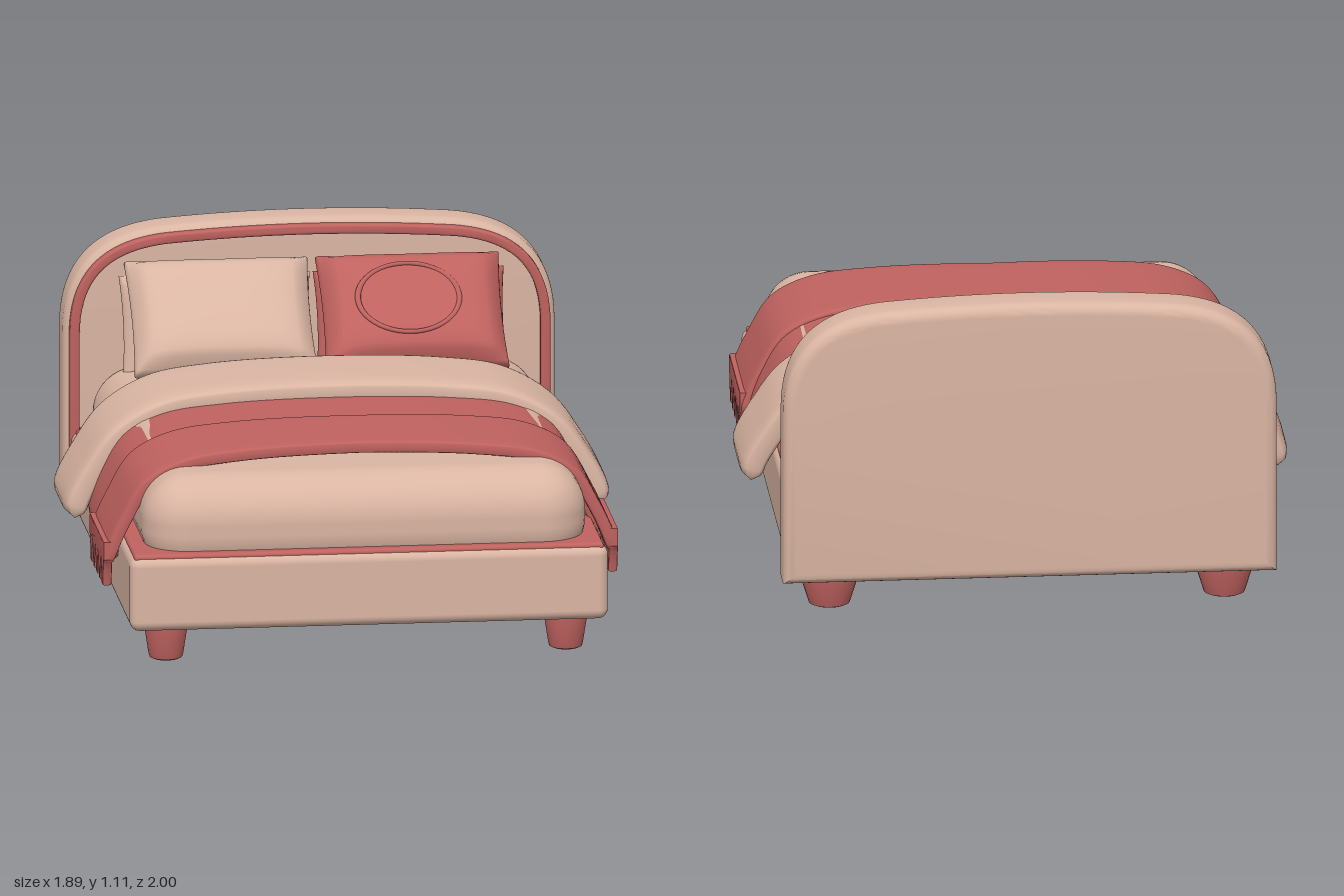
import * as THREE from 'three';
import { mergeVertices, toCreasedNormals } from 'three/addons/utils/BufferGeometryUtils.js';
import { RoundedBoxGeometry } from 'three/addons/geometries/RoundedBoxGeometry.js';

const tan = new THREE.MeshStandardMaterial({ color: 0xdab5a3 });
tan.name = 'warm tan';
const red = new THREE.MeshStandardMaterial({ color: 0xbf625f });
red.name = 'dusty red';

function add(parent, name, geometry, material, x = 0, y = 0, z = 0) {
  const mesh = new THREE.Mesh(geometry, material);
  mesh.name = name;
  mesh.position.set(x, y, z);
  parent.add(mesh);
  return mesh;
}

// Rounded box given by its extents, centred on x
function slab(halfX, y0, y1, z0, z1, radius) {
  return new RoundedBoxGeometry(halfX * 2, y1 - y0, z1 - z0, 6, radius)
    .translate(0, (y0 + y1) / 2, (z0 + z1) / 2);
}

// Arched headboard outline, inset on its sides and top
function archShape(inset, bottom) {
  const w = 0.85 - inset, t = 1.11 - inset;
  const s = new THREE.Shape();
  s.moveTo(-w, bottom);
  s.lineTo(w, bottom);
  s.lineTo(w, 0.72);
  s.bezierCurveTo(w, 0.95, 0.72 - inset, t - 0.04, 0.5, t - 0.02);
  s.quadraticCurveTo(0, t + 0.02, -0.5, t - 0.02);
  s.bezierCurveTo(-0.72 + inset, t - 0.04, -w, 0.95, -w, 0.72);
  s.closePath();
  return s;
}

function extrude(shape, depth, bevel, bevelSegments) {
  const g = new THREE.ExtrudeGeometry(shape, {
    depth: depth - 2 * bevel, bevelEnabled: true, bevelThickness: bevel,
    bevelSize: bevel, bevelSegments, curveSegments: 20,
  });
  return toCreasedNormals(g.translate(0, 0, bevel), 0.6);
}

// Cloth draped over the bed: a rounded section swept along a mirrored arch.
// edges(k) gives the back and front z, with k = 0 at the middle and 1 at the hems.
function drape(half, thickness, power, edges) {
  const all = [...half.slice(1).reverse().map(([x, y]) => [-x, y]), ...half];
  const curve = new THREE.CatmullRomCurve3(all.map(([x, y]) => new THREE.Vector3(x, y, 0)));
  const N = 110, M = 32, taper = 0.045, length = curve.getLength();
  const maxX = half[half.length - 1][0];
  const bend = (v) => Math.sign(v) * Math.pow(Math.abs(v), power);
  const pos = [], index = [];
  for (let i = 0; i <= N; i++) {
    const p = curve.getPointAt(i / N), t = curve.getTangentAt(i / N);
    const d = Math.min(1, Math.min(i, N - i) / N * length / taper);
    const round = Math.sqrt(Math.max(0, 1 - (1 - d) ** 2));
    const [z0, z1] = edges(Math.abs(p.x) / maxX);
    const halfZ = (z1 - z0) / 2 * (0.92 + 0.08 * round);
    for (let j = 0; j < M; j++) {
      const a = j / M * Math.PI * 2;
      const off = bend(Math.sin(a)) * thickness / 2 * round;
      pos.push(p.x - t.y * off, p.y + t.x * off, (z0 + z1) / 2 + halfZ * bend(Math.cos(a)));
      if (i < N) {
        const b = i * M + j, c = i * M + (j + 1) % M;
        index.push(b, b + M, c, b + M, c + M, c);
      }
    }
  }
  const g = new THREE.BufferGeometry();
  g.setAttribute('position', new THREE.Float32BufferAttribute(pos, 3));
  g.setIndex(index);
  g.computeVertexNormals();
  return g;
}

// Cushion that is full in the middle and thin along its seam
function cushion(w, h, depth) {
  let g = new THREE.BoxGeometry(w, h, depth, 24, 20, 4);
  const p = g.attributes.position;
  for (let i = 0; i < p.count; i++) {
    const u = p.getX(i) / w * 2, v = p.getY(i) / h * 2, side = p.getZ(i) / depth * 2;
    const full = Math.sqrt(Math.max(0, 1 - u ** 4) * Math.max(0, 1 - v ** 4));
    const edge = 1 - 0.03 * side * side;
    p.setXYZ(i, p.getX(i) * edge * (1 - 0.03 * (1 - v * v)),
      p.getY(i) * edge * (1 - 0.03 * (1 - u * u)), p.getZ(i) * (0.25 + 0.75 * full));
  }
  g.deleteAttribute('uv');
  g.deleteAttribute('normal');
  g = mergeVertices(g, 1e-5);
  g.computeVertexNormals();
  return g;
}

// Scalloped strip of tassels lying in the z-y plane
function fringeGeometry() {
  const z0 = 0.31, z1 = 0.725, teeth = 5, step = (z1 - z0) / teeth;
  const s = new THREE.Shape();
  s.moveTo(z1, 0.37);
  s.lineTo(z0, 0.37);
  s.lineTo(z0, 0.31);
  for (let i = 0; i < teeth; i++) {
    const a = z0 + i * step;
    s.quadraticCurveTo(a + step * 0.25, 0.29, a + step * 0.38, 0.222);
    s.lineTo(a + step * 0.62, 0.222);
    s.quadraticCurveTo(a + step * 0.75, 0.29, a + step, 0.315);
  }
  s.closePath();
  return extrude(s, 0.032, 0.006, 2).translate(0, 0, -0.016).rotateY(-Math.PI / 2);
}

function legGeometry(top, bottom) {
  const profile = [[0, 0], [bottom - 0.015, 0], [bottom - 0.004, 0.005], [bottom, 0.018],
    [top, 0.115], [top, 0.14], [0, 0.14]].map(([x, y]) => new THREE.Vector2(x, y));
  return toCreasedNormals(new THREE.LatheGeometry(profile, 28), 0.7);
}

export function createModel() {
  const bed = new THREE.Group();
  bed.name = 'bed';

  // Frame, red rim and mattress
  add(bed, 'frame', slab(0.825, 0.12, 0.382, -0.86, 1, 0.035), tan);
  add(bed, 'frameRim', slab(0.81, 0.34, 0.39, -0.85, 0.985, 0.012), red);
  add(bed, 'mattress', slab(0.765, 0.28, 0.635, -0.84, 0.955, 0.16), tan);

  // Headboard with arched piping
  add(bed, 'headboard', extrude(archShape(0.04, 0.155), 0.17, 0.04, 6), tan, 0, 0, -1);
  const piping = archShape(0.028, 0.125);
  piping.holes.push(archShape(0.046, 0.16));
  add(bed, 'headboardPiping', extrude(piping, 0.04, 0.008, 3), red, 0, 0, -0.843);

  // Legs
  for (const side of [-1, 1]) {
    add(bed, 'frontLeg', legGeometry(0.075, 0.06), red, side * 0.69, 0, 0.875);
    add(bed, 'backLeg', legGeometry(0.105, 0.075), red, side * 0.68, 0, -0.84);
  }

  // Bedding layers
  add(bed, 'blanket', drape([[0, 0.657], [0.4, 0.646], [0.6, 0.62], [0.72, 0.56], [0.79, 0.45],
    [0.828, 0.35], [0.838, 0.28]], 0.05, 0.35, () => [-0.06, 0.62]), red);
  add(bed, 'throw', drape([[0, 0.675], [0.4, 0.664], [0.61, 0.635], [0.735, 0.57], [0.81, 0.45],
    [0.86, 0.34], [0.873, 0.29]], 0.046, 0.28, (k) => [0.295, 0.69 + 0.042 * Math.min(1, k * 1.2)]), red);
  for (const side of [-1, 1]) add(bed, 'throwFringe', fringeGeometry(), red, side * 0.873, 0, 0);
  add(bed, 'foldedDuvet', drape([[0, 0.69], [0.4, 0.676], [0.6, 0.645], [0.75, 0.56], [0.84, 0.44],
    [0.895, 0.34], [0.908, 0.285]], 0.09, 0.42,
  (k) => [-0.432 + 0.06 * k ** 3, -0.01 + 0.045 * k ** 2]), tan);

  // Pillows, each leaning on a smaller one behind
  for (const [side, name, material] of [[-1, 'rightPillow', tan], [1, 'leftPillow', red]]) {
    const front = add(bed, name, cushion(0.635, 0.46, 0.2), material, side * 0.33, 0.82, -0.615);
    front.rotation.x = -0.82;
    const back = add(bed, 'backPillow', cushion(0.66, 0.36, 0.16), material, side * 0.335, 0.765, -0.72);
    back.rotation.x = -0.35;
    if (side > 0) {
      // Oval piping on the red pillow
      const oval = new THREE.TorusGeometry(0.14, 0.008, 8, 48).scale(1.25, 1, 1);
      add(front, 'ovalPiping', oval, red, -0.02, 0, 0.095);
    }
  }
  return bed;
}
